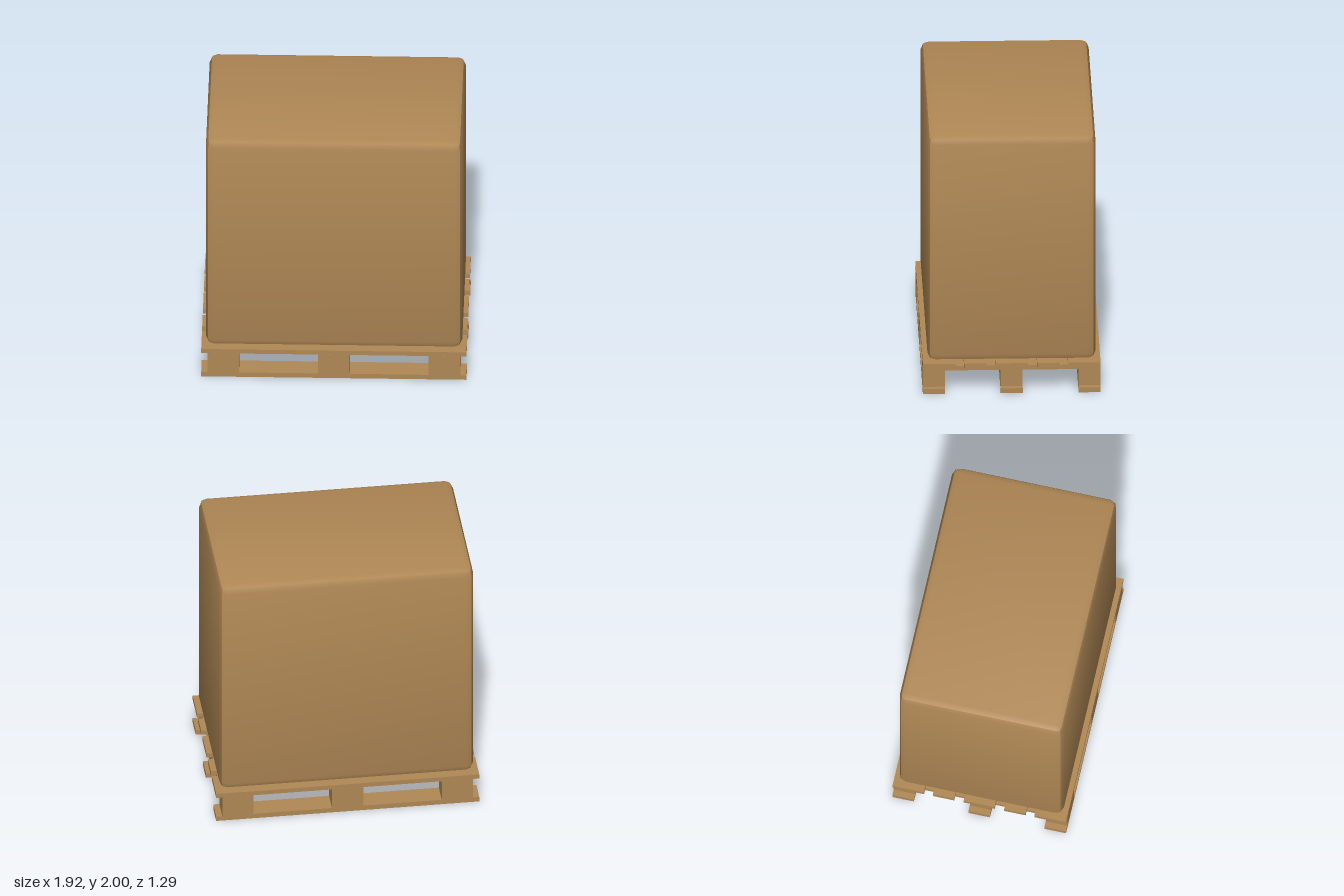
import * as THREE from 'three';

const material = new THREE.MeshStandardMaterial({ color: 0xb08855, roughness: 0.9 });

// Box with two-step rounded edges, creased along the middle of each edge
function softBox(width, height, depth, radius) {
  const geometry = new THREE.BoxGeometry(1, 1, 1, 3, 3, 3);
  const { position, normal } = geometry.attributes;
  const core = new THREE.Vector3(width / 2 - radius, height / 2 - radius, depth / 2 - radius);
  const p = new THREE.Vector3(), n = new THREE.Vector3();
  for (let i = 0; i < position.count; i++) {
    p.fromBufferAttribute(position, i);
    n.fromBufferAttribute(normal, i);
    const sign = new THREE.Vector3(Math.sign(p.x), Math.sign(p.y), Math.sign(p.z));
    // outer grid lines become the bevel, inner ones the border of the flat face
    const outer = new THREE.Vector3(
      Math.abs(p.x) > 0.3 ? sign.x : 0,
      Math.abs(p.y) > 0.3 ? sign.y : 0,
      Math.abs(p.z) > 0.3 ? sign.z : 0
    );
    p.copy(core).multiply(sign).addScaledVector(outer.clone().normalize(), radius);
    position.setXYZ(i, p.x, p.y, p.z);
    // normals lean outwards towards the edges of each side
    for (const axis of ['x', 'y', 'z']) {
      if (Math.abs(n[axis]) < 0.5) n[axis] = sign[axis] * (outer[axis] ? 0.4 : 0.15);
    }
    n.normalize();
    normal.setXYZ(i, n.x, n.y, n.z);
  }
  return geometry;
}

export function createModel() {
  const model = new THREE.Group();
  model.name = 'loadedPallet';

  const pallet = new THREE.Group();
  pallet.name = 'pallet';
  model.add(pallet);

  // Plank or block given by its centre, size and vertical range
  const addTimber = (name, x, z, width, depth, bottom, top) => {
    const mesh = new THREE.Mesh(new THREE.BoxGeometry(width, top - bottom, depth), material);
    mesh.name = name;
    mesh.position.set(x, (bottom + top) / 2, z);
    pallet.add(mesh);
  };

  // Deck boards, alternating wide and narrow
  for (const [z, depth] of [[-0.527, 0.235], [-0.265, 0.16], [0, 0.23], [0.265, 0.16], [0.527, 0.235]]) {
    addTimber('deckBoard', 0, z, 1.925, depth, 0.2, 0.235);
  }

  // Runners along the length
  const rows = [-0.565, 0, 0.565];
  for (const z of rows) addTimber('bottomRunner', 0, z, 1.925, 0.16, 0, 0.038);

  // Cross bearers with the spacer blocks below them
  for (const x of [-0.803, 0, 0.803]) {
    addTimber('crossBearer', x, 0, 0.23, 1.29, 0.165, 0.2);
    for (const z of rows) addTimber('spacerBlock', x, z, 0.23, 0.16, 0.038, 0.165);
  }

  // Carton standing on the deck
  const carton = new THREE.Mesh(softBox(1.86, 1.765, 1.22, 0.058), material);
  carton.name = 'carton';
  carton.position.y = 0.235 + 1.765 / 2;
  model.add(carton);

  return model;
}
